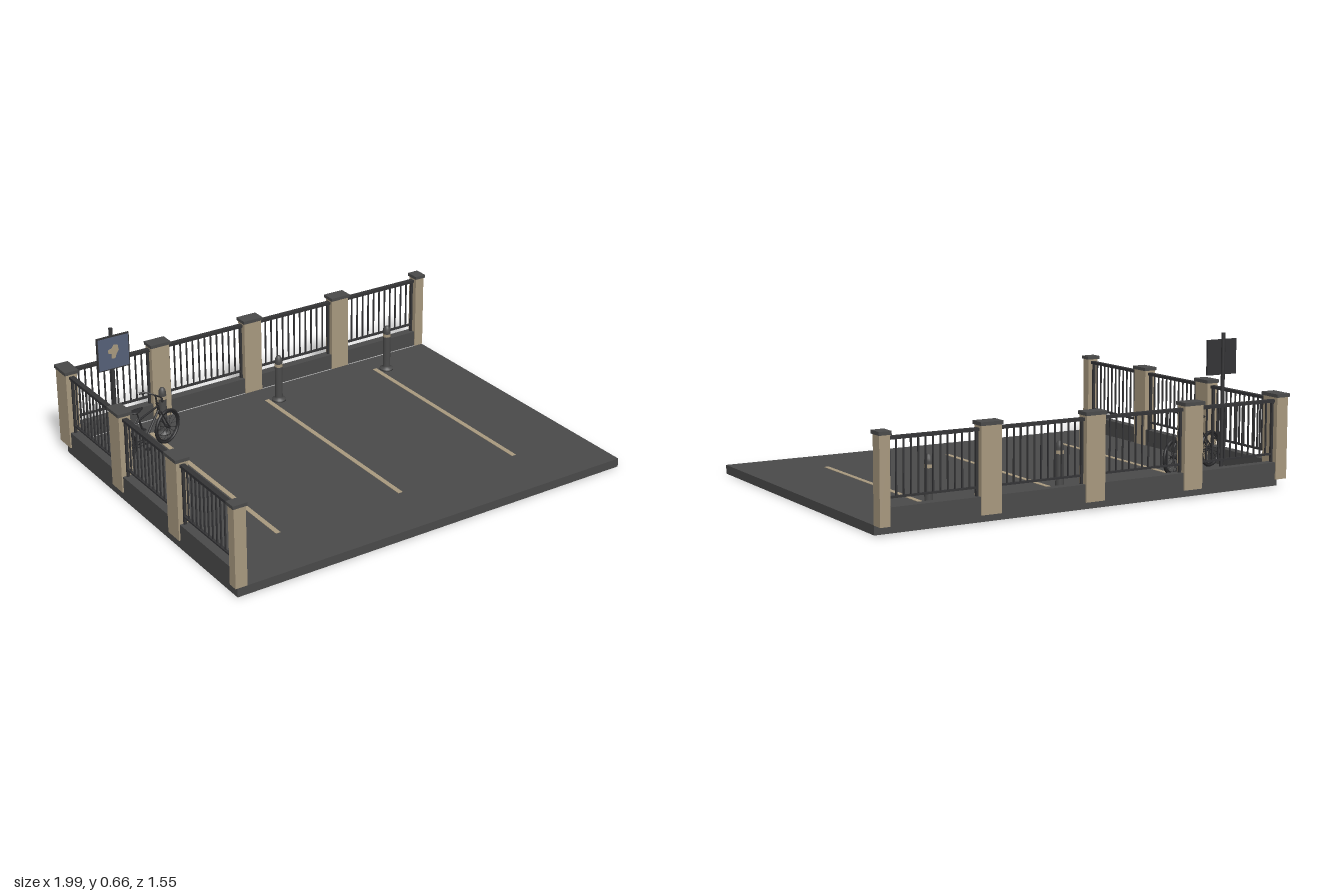
import * as THREE from 'three';

const mat = (name, color) => {
  const m = new THREE.MeshStandardMaterial({ color });
  m.name = name;
  return m;
};

export function createModel() {
  const asphalt = mat('asphalt', 0x4a4a4a);
  const stone = mat('stone', 0xa8997f);
  const iron = mat('iron', 0x343436);
  const blue = mat('signBlue', 0x566078);
  const black = mat('bikeBlack', 0x29292b);
  const V = (x, y, z) => new THREE.Vector3(x, y, z);

  const root = new THREE.Group();
  root.name = 'parkingLot';

  const group = (name, parent = root) => {
    const g = new THREE.Group();
    g.name = name;
    parent.add(g);
    return g;
  };
  const add = (parent, name, geo, m, x = 0, y = 0, z = 0) => {
    const mesh = new THREE.Mesh(geo, m);
    mesh.name = name;
    mesh.position.set(x, y, z);
    parent.add(mesh);
    return mesh;
  };
  // Box given by its two corners on each axis
  const box = (parent, name, m, x0, x1, y0, y1, z0, z1) =>
    add(parent, name, new THREE.BoxGeometry(x1 - x0, y1 - y0, z1 - z0), m,
      (x0 + x1) / 2, (y0 + y1) / 2, (z0 + z1) / 2);
  // Straight round bar between two points
  const bar = (parent, name, m, a, b, r, sides = 8) => {
    const d = b.clone().sub(a);
    const mid = a.clone().add(b).multiplyScalar(0.5);
    const mesh = add(parent, name, new THREE.CylinderGeometry(r, r, d.length(), sides), m, mid.x, mid.y, mid.z);
    mesh.quaternion.setFromUnitVectors(V(0, 1, 0), d.normalize());
    return mesh;
  };

  // Ground and painted bay lines
  box(root, 'groundSlab', asphalt, -0.985, 0.988, 0, 0.04, -0.715, 0.77);
  for (const x of [-0.62, 0, 0.62]) {
    box(root, 'bayLine', stone, x - 0.011, x + 0.011, 0.038, 0.042, -0.6, 0.49);
  }

  // Fence run along local x; the outer face is at local z = -0.0275
  function fenceRun(name, pillars) {
    const run = group(name);
    pillars.forEach(([a, b], i) => {
      box(run, 'pillar', stone, a, b, 0.04, 0.4, -0.0275, 0.0275);
      box(run, 'pillarCap', asphalt, a - 0.005, b + 0.005, 0.4, 0.415, -0.0335, 0.0335);
      if (i === pillars.length - 1) return;
      const end = pillars[i + 1][0];
      const panel = group('fencePanel', run);
      box(panel, 'lowWall', asphalt, b, end, 0.04, 0.115, -0.021, 0.021);
      const p0 = b + 0.007, p1 = end - 0.007;
      box(panel, 'topRail', iron, p0 - 0.007, p1 + 0.007, 0.377, 0.39, -0.012, 0.012);
      box(panel, 'bottomRail', iron, p0, p1, 0.146, 0.154, -0.006, 0.006);
      for (const x of [p0, p1]) {
        box(panel, 'endPost', iron, x - 0.005, x + 0.005, 0.115, 0.38, -0.006, 0.006);
      }
      const bars = 11;
      for (let k = 1; k <= bars; k++) {
        const x = p0 + (p1 - p0) * k / (bars + 1);
        box(panel, 'fenceBar', iron, x - 0.003, x + 0.003, 0.15, 0.38, -0.003, 0.003);
      }
    });
    return run;
  }
  const back = fenceRun('backFence',
    [[-0.993, -0.935], [-0.54, -0.447], [-0.046, 0.046], [0.447, 0.54], [0.944, 0.99]]);
  back.position.z = -0.7425;
  // Local +x turns to -z on the right-hand side fence
  const side = fenceRun('sideFence',
    [[-0.77, -0.725], [-0.32, -0.23], [0.173, 0.265], [0.67, 0.715]]);
  side.rotation.y = Math.PI / 2;
  side.position.x = -0.9655;

  // Bollards with a base flange, domed top and painted band
  const bollardProfile = [[0, 0], [0.033, 0], [0.033, 0.008], [0.021, 0.012], [0.018, 0.02],
    [0.018, 0.2], [0.016, 0.215], [0.01, 0.227], [0, 0.231]].map(p => new THREE.Vector2(...p));
  for (const x of [-0.57, 0.05, 0.67]) {
    const b = group('bollard');
    b.position.set(x, 0.04, -0.571);
    add(b, 'bollardPost', new THREE.LatheGeometry(bollardProfile, 20), asphalt);
    add(b, 'bollardBand', new THREE.CylinderGeometry(0.0188, 0.0188, 0.015, 20), stone, 0, 0.182, 0);
  }

  // Sign on a pole
  const sign = group('sign');
  sign.position.set(-0.85, 0, -0.492);
  bar(sign, 'signPole', iron, V(0, 0.04, 0), V(0, 0.66, 0), 0.009, 12);
  box(sign, 'signPlate', iron, -0.078, 0.078, 0.473, 0.63, 0.008, 0.018);
  box(sign, 'signFace', blue, -0.073, 0.073, 0.478, 0.625, 0.017, 0.02);
  const patch = new THREE.Shape([[-0.026, 0.012], [-0.008, 0.018], [0.004, 0.034], [0.022, 0.028],
    [0.026, 0.004], [0.014, -0.012], [0.008, -0.032], [-0.01, -0.028], [-0.008, -0.008],
    [-0.024, -0.004]].map(p => new THREE.Vector2(...p)));
  add(sign, 'signPatch', new THREE.ExtrudeGeometry(patch, { depth: 0.003, bevelEnabled: false }),
    stone, -0.002, 0.556, 0.019);

  // Bicycle, built along local x with its wheels on y = 0
  const bike = group('bicycle');
  bike.position.set(-0.738, 0.04, -0.426);
  bike.rotation.y = THREE.MathUtils.degToRad(20.5);
  const R = V(-0.146, 0.083, 0), F = V(0.146, 0.083, 0);
  for (const c of [R, F]) {
    const w = group('wheel', bike);
    w.position.copy(c);
    add(w, 'tyre', new THREE.TorusGeometry(0.076, 0.007, 8, 36), black);
    add(w, 'rim', new THREE.TorusGeometry(0.067, 0.0035, 6, 36), black);
    bar(w, 'hub', black, V(0, 0, -0.015), V(0, 0, 0.015), 0.007, 10);
    for (let k = 0; k < 16; k++) {
      const t = k * Math.PI / 8;
      bar(w, 'spoke', black, V(0, 0, k % 2 ? 0.008 : -0.008),
        V(0.068 * Math.cos(t), 0.068 * Math.sin(t), 0), 0.0009, 4);
    }
  }

  // Frame tubes
  const crank = V(-0.002, 0.077, 0), seatTop = V(-0.042, 0.2, 0);
  const headTop = V(0.083, 0.225, 0), headLow = V(0.095, 0.18, 0);
  bar(bike, 'seatTube', black, crank, seatTop, 0.0045);
  bar(bike, 'seatPost', black, seatTop, V(-0.053, 0.235, 0), 0.003);
  bar(bike, 'topTube', black, V(-0.038, 0.188, 0), V(0.085, 0.206, 0), 0.0045);
  bar(bike, 'downTube', black, crank, V(0.093, 0.188, 0), 0.005);
  bar(bike, 'headTube', black, headTop, headLow, 0.006);
  bar(bike, 'stem', black, headTop, V(0.076, 0.262, 0), 0.004);
  for (const s of [-1, 1]) {
    const off = (p, z) => V(p.x, p.y, s * z);
    bar(bike, 'chainStay', black, off(crank, 0.006), off(R, 0.014), 0.003);
    bar(bike, 'seatStay', black, off(seatTop, 0.005), off(R, 0.014), 0.003);
    bar(bike, 'forkBlade', black, off(headLow, 0.01), off(F, 0.014), 0.0035);
    // Crank arms and pedals, half a turn apart
    const tip = V(crank.x - s * 0.018, crank.y - s * 0.032, s * 0.018);
    bar(bike, 'crankArm', black, off(crank, 0.016), tip, 0.003);
    add(bike, 'pedal', new THREE.BoxGeometry(0.022, 0.006, 0.022), black, tip.x, tip.y, tip.z + s * 0.011);
  }
  bar(bike, 'crankAxle', black, off2(crank, -0.016), off2(crank, 0.016), 0.006);
  add(bike, 'chainRing', new THREE.TorusGeometry(0.019, 0.0025, 6, 24), black, crank.x, crank.y, 0.012);
  for (const y of [-0.016, 0.016]) {
    bar(bike, 'chain', black, V(crank.x, crank.y + y, 0.012), V(R.x, R.y + y * 0.6, 0.012), 0.0015, 5);
  }
  function off2(p, z) { return V(p.x, p.y, z); }

  // Swept handlebar with grips
  const barPath = new THREE.CatmullRomCurve3([V(0.045, 0.266, -0.066), V(0.064, 0.269, -0.045),
    V(0.078, 0.262, -0.015), V(0.078, 0.262, 0.015), V(0.064, 0.269, 0.045), V(0.045, 0.266, 0.066)]);
  add(bike, 'handlebar', new THREE.TubeGeometry(barPath, 30, 0.0035, 8), black);
  for (const s of [-1, 1]) {
    bar(bike, 'grip', black, V(0.043, 0.2655, s * 0.068), V(0.061, 0.269, s * 0.049), 0.0055);
  }

  // Saddle: wide at the rear, narrow at the nose
  const saddle = new THREE.SphereGeometry(1, 20, 12);
  const p = saddle.attributes.position;
  for (let i = 0; i < p.count; i++) {
    const x = p.getX(i);
    p.setXYZ(i, x * 0.04, p.getY(i) * 0.008, p.getZ(i) * (0.017 - 0.011 * x));
  }
  saddle.computeVertexNormals();
  add(bike, 'saddle', saddle, black, -0.05, 0.238, 0);

  return root;
}
